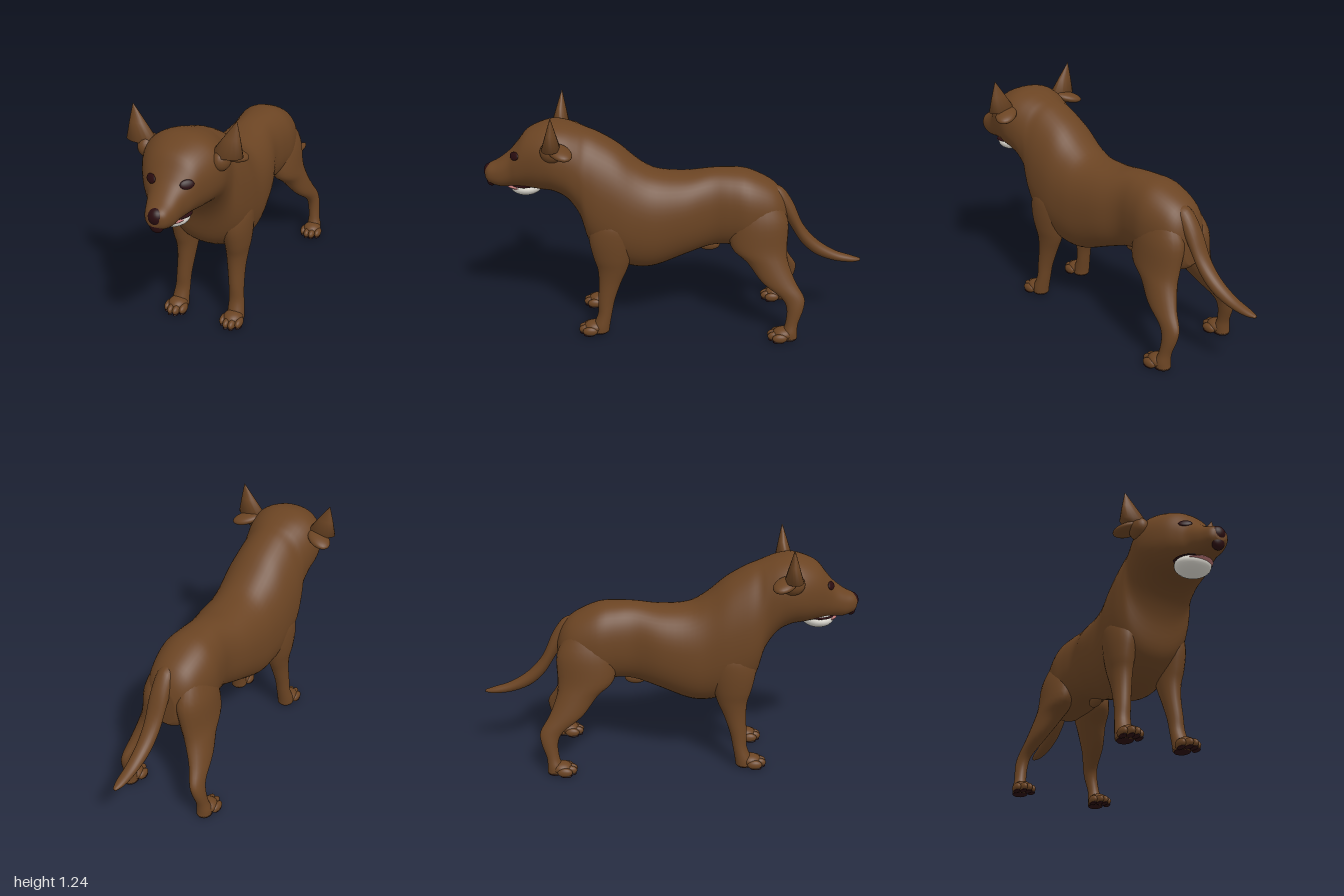
import * as THREE from 'three';

const mat = (name, color) => Object.assign(new THREE.MeshStandardMaterial({ color }), { name });

// Smooth interpolation of station rows (Catmull-Rom on every column)
function refine(rows, steps) {
  const out = [];
  const at = (i) => rows[Math.max(0, Math.min(rows.length - 1, i))];
  for (let i = 0; i < rows.length - 1; i++) {
    for (let k = 0; k < steps; k++) {
      const t = k / steps;
      out.push(rows[i].map((b, c) => {
        const a = at(i - 1)[c], d = at(i + 1)[c], e = at(i + 2)[c];
        return b + 0.5 * t * (d - a + t * (2 * a - 5 * b + 4 * d - e + t * (3 * (b - d) + e - a)));
      }));
    }
  }
  out.push(rows[rows.length - 1]);
  return out;
}

// Closed loft: rows are [x, y, z, halfU, halfV, egg]; u x v points along the loft
function loft(rows, u, v, power = 2, steps = 4, sides = 36) {
  const pos = [], idx = [];
  const rings = refine(rows, steps);
  const bend = (n) => Math.sign(n) * Math.pow(Math.abs(n), 2 / power);
  for (const [x, y, z, a, b, egg = 0] of rings) {
    for (let j = 0; j < sides; j++) {
      const t = (j / sides) * Math.PI * 2;
      const p = a * bend(Math.cos(t)) * (1 - egg * Math.sin(t));
      const q = b * bend(Math.sin(t));
      pos.push(x + u[0] * p + v[0] * q, y + u[1] * p + v[1] * q, z + u[2] * p + v[2] * q);
    }
  }
  const n = rings.length, first = n * sides, last = first + 1;
  pos.push(...rings[0].slice(0, 3), ...rings[n - 1].slice(0, 3));
  for (let j = 0; j < sides; j++) {
    const k = (j + 1) % sides;
    for (let i = 0; i < n - 1; i++) {
      const a = i * sides, b = a + sides;
      idx.push(a + j, a + k, b + j, a + k, b + k, b + j);
    }
    idx.push(first, k, j, last, first - sides + j, first - sides + k);
  }
  const g = new THREE.BufferGeometry();
  g.setAttribute('position', new THREE.Float32BufferAttribute(pos, 3));
  g.setIndex(idx);
  g.computeVertexNormals();
  return g;
}

const X = [1, 0, 0], Y = [0, 1, 0], Z = [0, 0, 1];

export function createModel() {
  const model = new THREE.Group();
  const coat = mat('brown coat', 0x6b4423);
  const dark = mat('dark skin', 0x2a0d10);
  const white = mat('white teeth', 0xe0ddd4);
  const pink = mat('pink tongue', 0xc07878);

  const add = (name, geo, material, parent = model) => {
    const m = new THREE.Mesh(geo, material);
    m.name = name;
    parent.add(m);
    return m;
  };
  const blob = (name, material, p, r, parent) => {
    const m = add(name, new THREE.SphereGeometry(1, 24, 16), material, parent);
    m.position.set(...p);
    m.scale.set(...r);
    return m;
  };

  // Torso, neck and head: z, x, top, bottom, half width, egg
  const bodyRows = [
    [-0.59, 0.02, 0.70, 0.50, 0.06, 0],
    [-0.56, 0.02, 0.77, 0.47, 0.11, 0],
    [-0.50, 0.018, 0.83, 0.46, 0.145, 0],
    [-0.38, 0.018, 0.885, 0.46, 0.168, 0],
    [-0.28, 0.018, 0.895, 0.475, 0.155, 0],
    [-0.18, 0.018, 0.892, 0.465, 0.145, 0],
    [-0.05, 0.018, 0.875, 0.42, 0.18, 0],
    [0.10, 0.018, 0.885, 0.36, 0.20, 0.04],
    [0.20, 0.018, 0.94, 0.35, 0.205, 0.08],
    [0.30, 0.015, 1.025, 0.375, 0.212, 0.1],
    [0.40, 0.012, 1.085, 0.43, 0.21, 0.1],
    [0.46, 0.012, 1.11, 0.50, 0.20, 0.06],
    [0.50, 0.012, 1.125, 0.64, 0.192, 0],
    [0.56, 0.012, 1.145, 0.74, 0.20, 0],
    [0.63, 0.013, 1.155, 0.785, 0.205, 0],
    [0.70, 0.015, 1.14, 0.795, 0.185, 0],
    [0.77, 0.02, 1.105, 0.805, 0.15, 0],
    [0.82, 0.028, 1.045, 0.81, 0.118, 0],
    [0.86, 0.033, 1.0, 0.81, 0.092, 0],
    [0.92, 0.037, 0.955, 0.81, 0.075, 0],
    [0.97, 0.04, 0.93, 0.83, 0.055, 0],
    [0.99, 0.04, 0.91, 0.85, 0.03, 0],
  ].map(([z, x, top, low, w, egg]) => [x, (top + low) / 2, z, w, (top - low) / 2, egg]);
  const body = add('torsoAndHead', loft(bodyRows, X, Y, 2.25, 4, 48), coat);
  blob('bellyFold', coat, [0.018, 0.46, -0.18], [0.025, 0.035, 0.06]);

  // Tail
  const tail = [
    [0.77, -0.50, 0.05, 0.04], [0.73, -0.56, 0.05, 0.065], [0.64, -0.62, 0.05, 0.075],
    [0.53, -0.68, 0.045, 0.055], [0.45, -0.76, 0.04, 0.042], [0.40, -0.86, 0.033, 0.028],
    [0.38, -0.95, 0.025, 0.018], [0.375, -1.0, 0.01, 0.007],
  ].map(([y, z, a, b]) => [0.035, y, z, a, b]);
  add('tail', loft(tail, [-1, 0, 0], Y, 2, 4, 24), coat);

  // Legs: y, x offset, z, half width, half depth
  const frontLeg = [
    [0.70, 0.12, 0.33, 0.05, 0.07], [0.64, 0.13, 0.33, 0.08, 0.115],
    [0.55, 0.14, 0.335, 0.078, 0.12], [0.45, 0.145, 0.335, 0.065, 0.10],
    [0.38, 0.142, 0.335, 0.055, 0.08], [0.30, 0.143, 0.35, 0.046, 0.06],
    [0.20, 0.15, 0.37, 0.04, 0.045], [0.12, 0.155, 0.38, 0.04, 0.038],
    [0.05, 0.16, 0.40, 0.045, 0.045], [0.015, 0.16, 0.405, 0.045, 0.045],
  ];
  const hindLeg = [
    [0.76, 0.08, -0.43, 0.05, 0.09], [0.64, 0.092, -0.44, 0.085, 0.15],
    [0.50, 0.115, -0.44, 0.08, 0.15], [0.42, 0.14, -0.485, 0.068, 0.11],
    [0.32, 0.18, -0.545, 0.048, 0.09], [0.24, 0.208, -0.62, 0.034, 0.062],
    [0.18, 0.22, -0.635, 0.033, 0.045], [0.10, 0.23, -0.62, 0.032, 0.034],
    [0.05, 0.235, -0.61, 0.04, 0.04], [0.015, 0.235, -0.61, 0.04, 0.042],
  ];
  const cx = 0.015;
  for (const s of [-1, 1]) {
    const side = s > 0 ? 'left' : 'right';
    for (const [kind, rows] of [['Front', frontLeg], ['Hind', hindLeg]]) {
      const leg = new THREE.Group();
      leg.name = `${side}${kind}Leg`;
      model.add(leg);
      add('limb', loft(rows.map(([y, x, z, a, b]) => [cx + s * x, y, z, a, b]), X, Z, 2, 4, 24), coat, leg);
      // Paw with four toes and dark pads
      const [, px, pz] = rows[rows.length - 1];
      for (let i = 0; i < 4; i++) {
        const inner = i === 1 || i === 2;
        const tx = cx + s * px + (i - 1.5) * 0.029, tz = pz + (inner ? 0.078 : 0.055);
        blob('toe', coat, [tx, 0.029, tz], [0.019, 0.025, 0.04], leg);
        blob('toePad', dark, [tx, 0.008, tz + 0.006], [0.015, 0.008, 0.03], leg);
      }
      blob('paw', coat, [cx + s * px, 0.04, pz + 0.035], [0.05, 0.034, 0.055], leg);
      blob('heelPad', dark, [cx + s * px, 0.01, pz + 0.005], [0.04, 0.01, 0.045], leg);
    }

    // Upright ear tip above a folded side flap
    const ear = new THREE.Group();
    ear.name = `${side}Ear`;
    model.add(ear);
    const tip = [
      [0.262, 1.24, 0.61, 0.002, 0.002],
      [0.24, 1.155, 0.615, 0.042, 0.025],
      [0.217, 1.07, 0.62, 0.08, 0.048],
    ].map(([x, ...r]) => [0.01 + s * x, ...r]);
    add('earTip', loft(tip, X, Z, 2, 1, 16), coat, ear);
    const flap = blob('earFlap', coat, [0.01 + s * 0.225, 1.055, 0.575], [0.08, 0.027, 0.055], ear);
    flap.rotation.set(0, s * 0.6, -s * 0.25);
    blob('earFold', coat, [0.01 + s * 0.19, 1.045, 0.62], [0.045, 0.055, 0.06], ear);
  }

  // Eyes set on the head surface
  const ray = new THREE.Raycaster();
  body.updateMatrixWorld(true);
  for (const s of [-1, 1]) {
    const x = 0.037 + s * 0.087, y = 0.998;
    ray.set(new THREE.Vector3(x, y, 2), new THREE.Vector3(0, 0, -1));
    const hit = ray.intersectObject(body)[0];
    const eye = blob(s > 0 ? 'leftEye' : 'rightEye', dark, [x, y, hit ? hit.point.z : 0.82], [0.034, 0.022, 0.009]);
    if (hit) eye.lookAt(hit.point.clone().add(hit.face.normal));
  }

  // Nose and the dark groove below it
  blob('nose', dark, [0.04, 0.89, 0.962], [0.042, 0.043, 0.038]);
  blob('noseGroove', dark, [0.04, 0.848, 0.963], [0.036, 0.04, 0.026]);

  // Open mouth: pale lower jaw, dark lip line and tongue
  blob('lowerJaw', white, [0.018, 0.803, 0.785], [0.093, 0.048, 0.085]);
  blob('lipLine', dark, [0.02, 0.822, 0.785], [0.102, 0.007, 0.085]);
  blob('tongue', pink, [0.025, 0.809, 0.815], [0.078, 0.013, 0.072]);
  return model;
}
